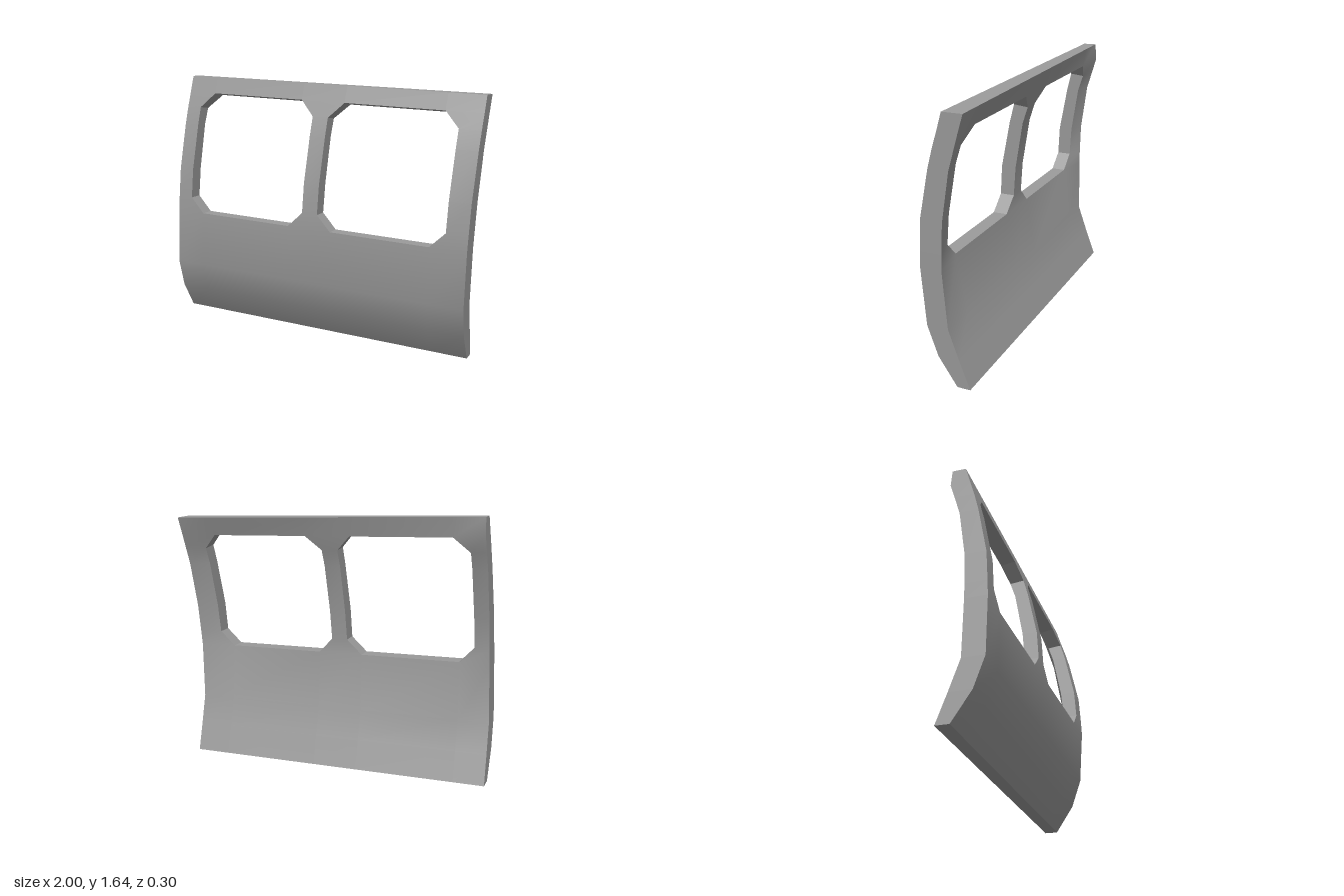
import * as THREE from 'three';
import { toCreasedNormals } from 'three/addons/utils/BufferGeometryUtils.js';

// Horizontal sections of the curved panel: height, front z, front twist, back z, back twist
// (twist is the z change towards the +x end), then back z offset and back y drop at window edges
const ROWS = [
  [-0.78, -0.04, 0, -0.12, 0, 0, 0],
  [-0.61, 0.07, 0, -0.06, 0, 0, 0],
  [-0.43, 0.13, 0, 0, 0, 0, 0],
  [-0.085, 0.14, 0.01, 0.01, 0.01, 0.042, 0],
  [0.008, 0.135, 0.01, 0.006, 0.008, 0.04, 0],
  [0.19, 0.122, 0.009, -0.005, 0.005, 0.035, 0],
  [0.475, 0.062, 0.005, -0.053, 0, 0.03, 0],
  [0.587, 0.031, 0.003, -0.088, 0, 0.03, 0.01],
  [0.68, 0.001, 0.001, -0.117, 0, 0.025, 0.015],
  [0.78, -0.03, 0, -0.13, -0.02, 0, 0],
];
const SILL = 3, HEAD = 8;               // rows bounding the windows
const HALF_WIDTH = 0.97;
const WINDOWS = [[-0.874, -0.069], [0.032, 0.839]];
const CHAMFER = 0.092;

// Column positions of a row; windows narrow at sill and head to give cut corners
function columns(r) {
  const inset = r > SILL && r < HEAD ? 0 : CHAMFER;
  const inner = WINDOWS.flatMap(([a, b]) => [a + inset, b - inset]);
  return [-HALF_WIDTH, ...inner, HALF_WIDTH];
}

function point(r, c, isBack) {
  const [y, front, frontTwist, back, backTwist, dent, drop] = ROWS[r];
  const x = columns(r)[c];
  const side = x / HALF_WIDTH;
  if (!isBack) return [x, y, front + frontTwist * side];
  const inner = c > 0 && c < 5 ? 1 : 0;
  return [x, y - inner * drop, back + backTwist * side + inner * dent];
}

function isSolid(r, c) {
  if (r < 0 || c < 0 || r >= ROWS.length - 1 || c >= 5) return false;
  return !(r >= SILL && r < HEAD && c % 2 === 1);
}

function panelGeometry() {
  const positions = [];
  const quad = (a, b, c, d) => positions.push(...a, ...b, ...c, ...a, ...c, ...d);
  for (let r = 0; r < ROWS.length - 1; r++) {
    for (let c = 0; c < 5; c++) {
      if (!isSolid(r, c)) continue;
      const corners = [[r, c], [r, c + 1], [r + 1, c + 1], [r + 1, c]];
      const f = corners.map(([i, j]) => point(i, j, false));
      const b = corners.map(([i, j]) => point(i, j, true));
      quad(...f);
      quad(b[3], b[2], b[1], b[0]);
      // walls wherever the cell borders an opening or the outside
      [[r - 1, c], [r, c + 1], [r + 1, c], [r, c - 1]].forEach(([i, j], k) => {
        const n = (k + 1) % 4;
        if (!isSolid(i, j)) quad(f[k], b[k], b[n], f[n]);
      });
    }
  }
  const geometry = new THREE.BufferGeometry();
  geometry.setAttribute('position', new THREE.Float32BufferAttribute(positions, 3));
  return toCreasedNormals(geometry, 0.6);
}

export function createModel() {
  const model = new THREE.Group();
  model.name = 'windowPanel';
  const panel = new THREE.Mesh(
    panelGeometry(),
    new THREE.MeshStandardMaterial({ color: 0x9a9a9a })
  );
  panel.name = 'curvedPanelWithTwoWindows';
  // slight sideways lean
  panel.rotation.z = -0.0412;
  panel.position.y = 0.82;
  model.add(panel);
  return model;
}
